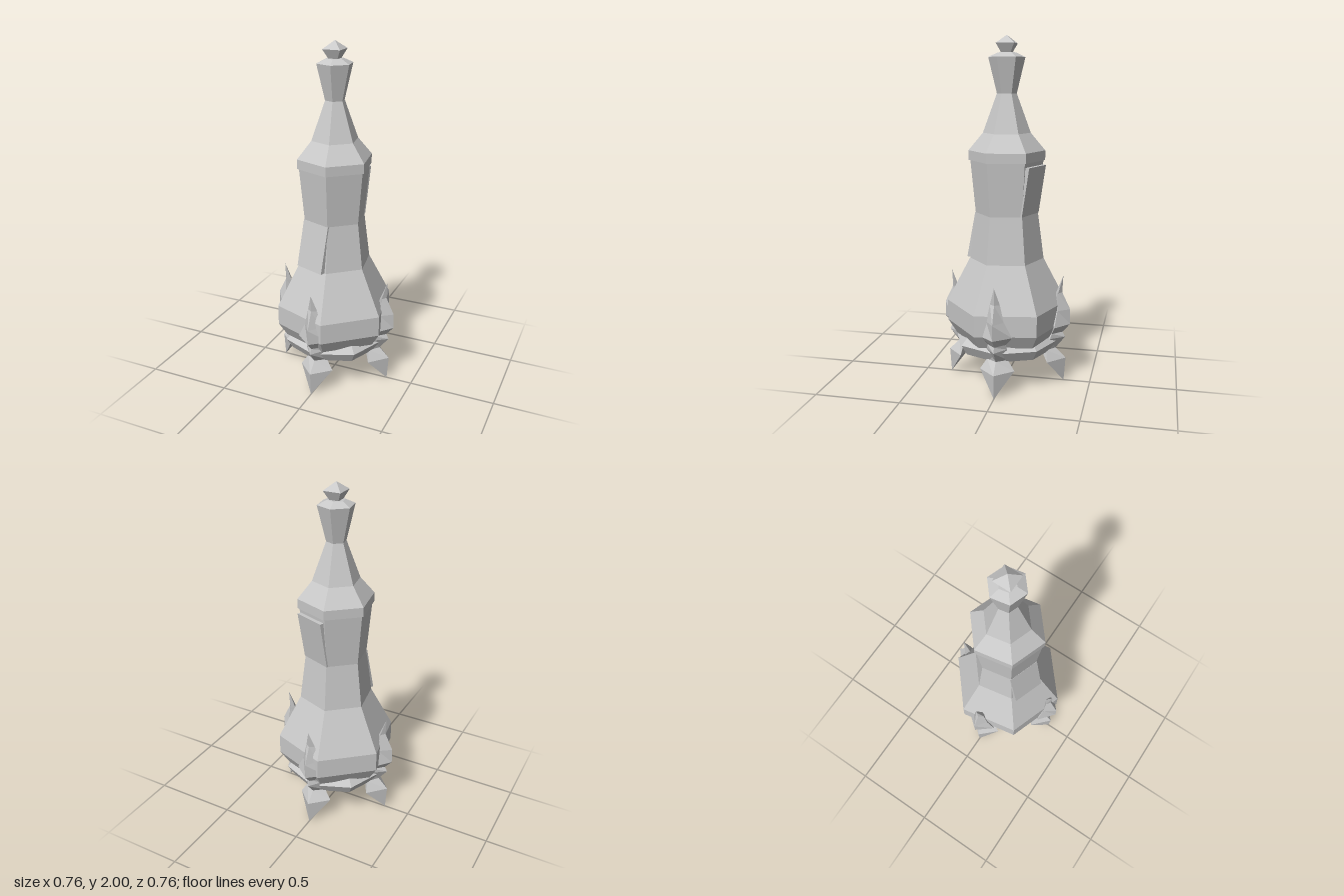
import * as THREE from 'three';

const grey = new THREE.MeshStandardMaterial({ color: 0xc8c8c8 });
const TWIST = THREE.MathUtils.degToRad(10.4);

// Mesh with hard facets
function faceted(name, geometry) {
  const g = geometry.index ? geometry.toNonIndexed() : geometry;
  g.computeVertexNormals();
  const mesh = new THREE.Mesh(g, grey);
  mesh.name = name;
  return mesh;
}

// Turned part with few sides; profile is [radius, y], bottom to top
function turned(name, profile, sides, start) {
  const points = profile.map(([r, y]) => new THREE.Vector2(r, y));
  return faceted(name, new THREE.LatheGeometry(points, sides, start));
}

// Diamond-section limb facing +z; levels are [y, halfWidth, sideZ, outerZ, innerZ]
function limb(levels) {
  const pos = [], index = [];
  for (const [y, w, side, outer, inner] of levels) {
    pos.push(0, y, outer, w, y, side, 0, y, inner, -w, y, side);
  }
  for (let i = 0; i < levels.length - 1; i++) {
    for (let j = 0; j < 4; j++) {
      const a = i * 4 + j, b = i * 4 + (j + 1) % 4;
      index.push(a, b, a + 4, b, b + 4, a + 4);
    }
  }
  const g = new THREE.BufferGeometry();
  g.setAttribute('position', new THREE.Float32BufferAttribute(pos, 3));
  g.setIndex(index);
  return g;
}

// Wedge panel lying on one face of the body; profile is [distance from axis, y]
function panel(name, profile, angle) {
  const shape = new THREE.Shape(profile.map(([r, y]) => new THREE.Vector2(r, y)));
  const g = new THREE.ExtrudeGeometry(shape, { depth: 0.19, bevelEnabled: false });
  g.translate(0, 0, -0.095);
  g.rotateY(-Math.PI / 2 + angle);
  return faceted(name, g);
}

export function createModel() {
  const model = new THREE.Group();

  // Six-sided bottle body with waist, collar, neck and lip
  model.add(turned('body', [
    [0, 0.26], [0.3, 0.27], [0.35, 0.35], [0.35, 0.47], [0.215, 0.73],
    [0.18, 1.0], [0.209, 1.305], [0.219, 1.305], [0.219, 1.36], [0.136, 1.46],
    [0.056, 1.68], [0.104, 1.88], [0.05, 1.905], [0, 1.905],
  ], 6, TWIST));

  // Four-sided stopper
  model.add(turned('stopper', [
    [0, 1.89], [0.035, 1.9], [0.073, 1.955], [0, 2.0],
  ], 4, Math.PI / 4));

  // Stand under the body
  model.add(turned('standRing', [
    [0, 0.2], [0.275, 0.19], [0.31, 0.25], [0.26, 0.3],
  ], 8, 0));

  // Four clawed legs hugging the body
  const leg = limb([
    [0.0, 0, 0.345, 0.345, 0.345],
    [0.14, 0.1, 0.26, 0.355, 0.24],
    [0.2, 0.06, 0.25, 0.295, 0.2],
    [0.27, 0.06, 0.27, 0.35, 0.2],
    [0.3, 0.055, 0.28, 0.335, 0.22],
    [0.35, 0.095, 0.3, 0.378, 0.24],
    [0.44, 0.05, 0.31, 0.378, 0.26],
    [0.54, 0.028, 0.31, 0.33, 0.295],
    [0.64, 0, 0.335, 0.335, 0.335],
  ]);
  for (let i = 0; i < 4; i++) {
    const mesh = faceted('leg', leg);
    mesh.rotation.y = i * Math.PI / 2;
    model.add(mesh);
  }

  // Wedge panels at front and back of the waist
  const faceAngle = TWIST - Math.PI / 6;
  model.add(panel('frontPanel', [[0.14, 0.73], [0.215, 0.73], [0.157, 1.0], [0.14, 1.0]], faceAngle));
  model.add(panel('backPanel', [[0.14, 1.0], [0.157, 1.0], [0.203, 1.28], [0.14, 1.28]], faceAngle + Math.PI));

  return model;
}
